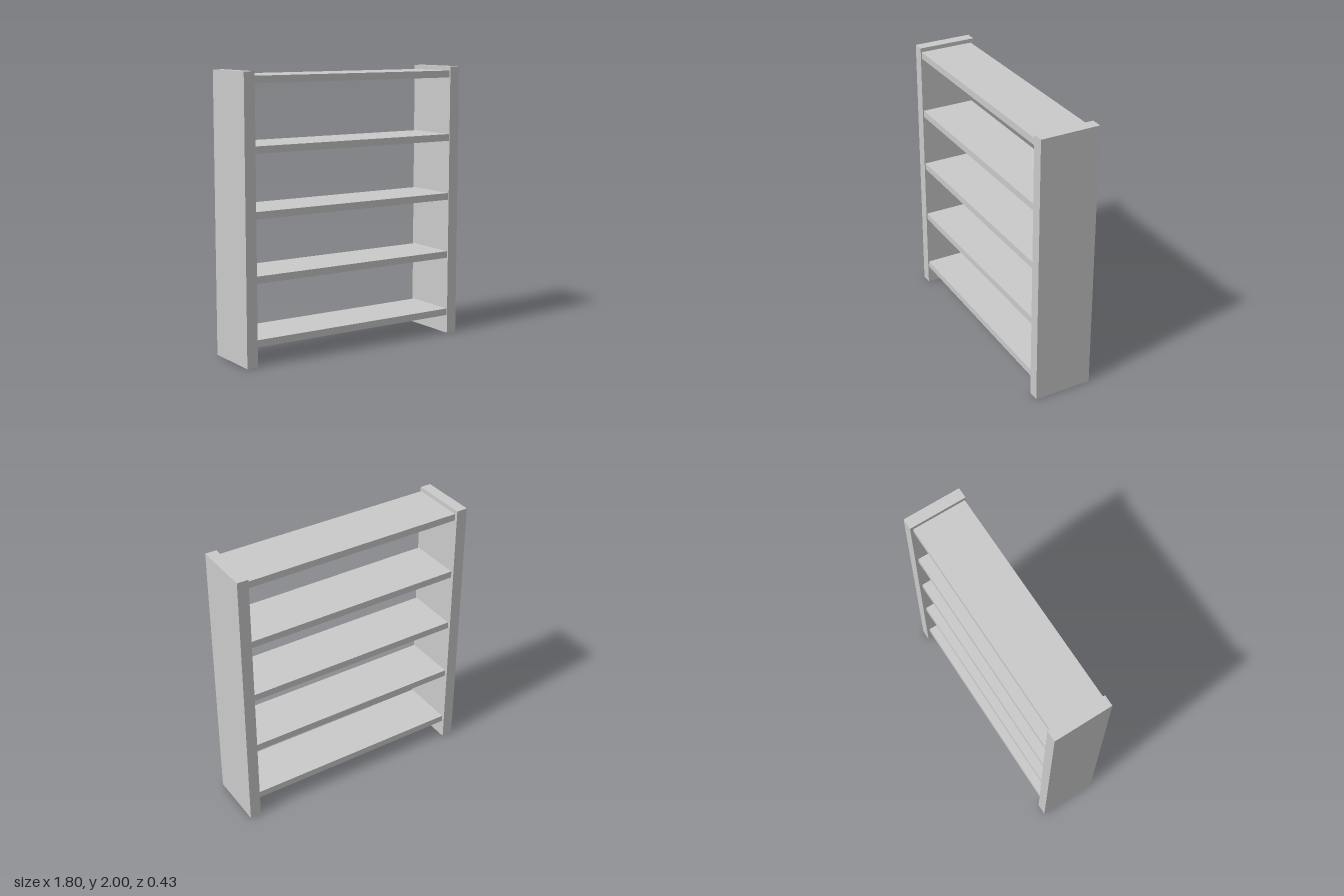
import * as THREE from 'three';

const material = new THREE.MeshStandardMaterial({ color: 0xcccccc, flatShading: true, side: THREE.DoubleSide });

// Hollow upright: a box without its bottom face
function uprightGeometry(w, h, d) {
  const geo = new THREE.BoxGeometry(w, h, d);
  const index = Array.from(geo.index.array);
  index.splice(18, 6); // the downward face
  geo.setIndex(index);
  geo.clearGroups();
  return geo;
}

export function createModel() {
  const model = new THREE.Group();
  model.name = 'shelfUnit';

  const inner = 0.82, outer = 0.902, height = 2, depth = 0.43;

  // Side panels, mirrored
  for (const side of [1, -1]) {
    const panel = new THREE.Mesh(uprightGeometry(outer - inner, height, depth), material);
    panel.name = side > 0 ? 'leftSidePanel' : 'rightSidePanel';
    panel.position.set(side * (inner + outer) / 2, height / 2, 0);
    model.add(panel);
  }

  // Shelves, set back slightly more at the rear than at the front
  const front = 0.207, back = -0.192, thickness = 0.05;
  const shelfGeo = new THREE.BoxGeometry(inner * 2, thickness, front - back);
  [0.162, 0.602, 1.041, 1.48, 1.945].forEach((y, i) => {
    const shelf = new THREE.Mesh(shelfGeo, material);
    shelf.name = `shelf${i + 1}`;
    shelf.position.set(0, y, (front + back) / 2);
    model.add(shelf);
  });

  return model;
}
